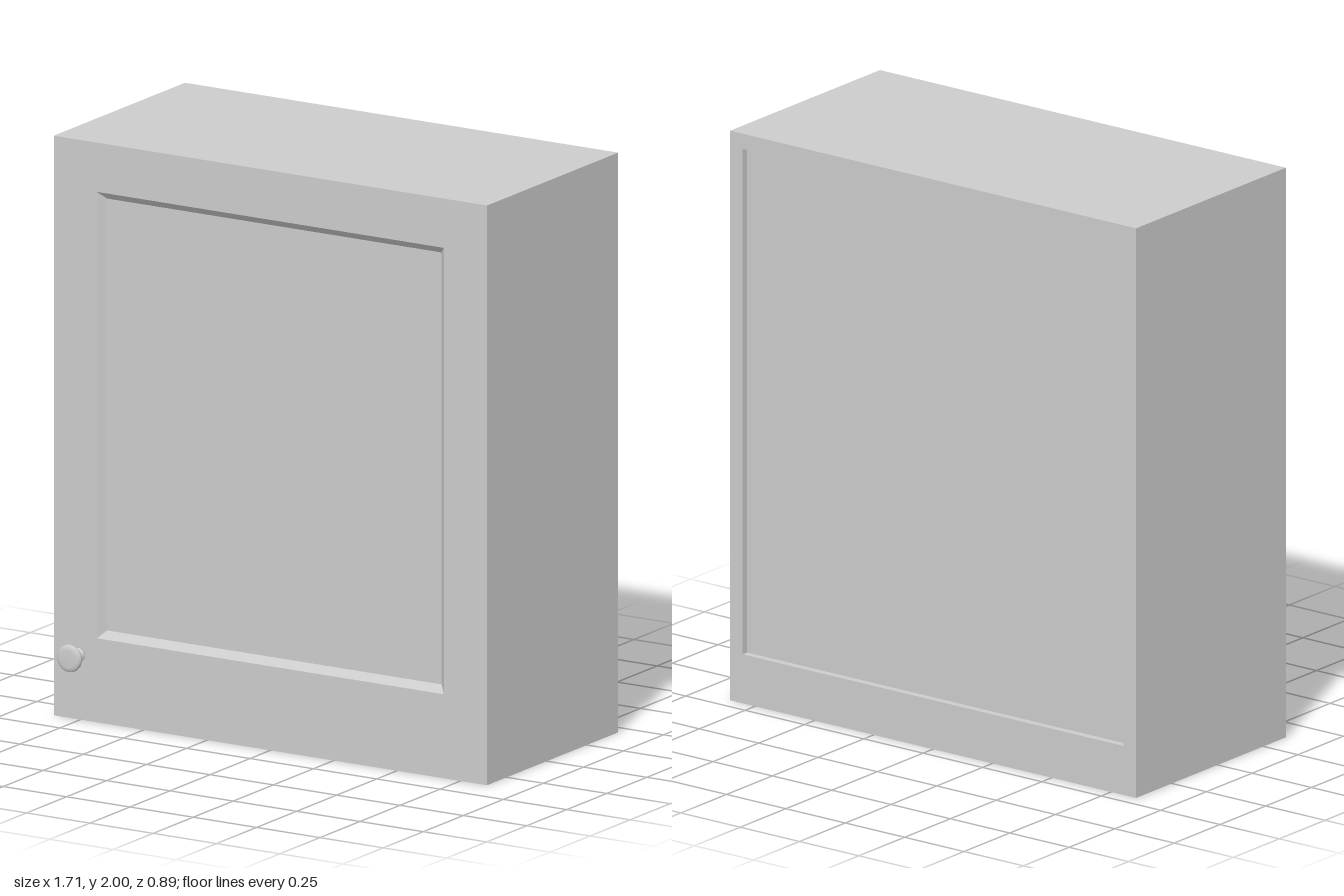
import * as THREE from 'three';

const W = 0.855, H = 2, BACK = -0.446, DOOR_BACK = 0.32, FRONT = 0.373;
const WALL = 0.053, KICK = 0.115, SHELF_TOP = 0.172;

const material = new THREE.MeshStandardMaterial({ color: 0xcccccc });

function add(group, name, geometry, x = 0, y = 0, z = 0) {
  const mesh = new THREE.Mesh(geometry, material);
  mesh.name = name;
  mesh.position.set(x, y, z);
  group.add(mesh);
  return mesh;
}

// Box given by its limits on each axis
function addPanel(group, name, [x0, x1], [y0, y1], [z0, z1]) {
  return add(group, name, new THREE.BoxGeometry(x1 - x0, y1 - y0, z1 - z0),
    (x0 + x1) / 2, (y0 + y1) / 2, (z0 + z1) / 2);
}

// Flat-faced solid through a series of rectangles [halfWidth, bottom, top, z],
// closed at the first (facing back) and the last (facing front)
function loftRectangles(sections) {
  const rings = sections.map(([w, y0, y1, z]) =>
    [[-w, y0, z], [w, y0, z], [w, y1, z], [-w, y1, z]]);
  const positions = [];
  const quad = (a, b, c, d) => positions.push(...a, ...b, ...c, ...a, ...c, ...d);
  for (let i = 0; i < rings.length - 1; i++) {
    for (let j = 0; j < 4; j++) {
      const k = (j + 1) % 4;
      quad(rings[i][j], rings[i][k], rings[i + 1][k], rings[i + 1][j]);
    }
  }
  const first = rings[0], last = rings[rings.length - 1];
  quad(first[3], first[2], first[1], first[0]);
  quad(last[0], last[1], last[2], last[3]);
  const geometry = new THREE.BufferGeometry();
  geometry.setAttribute('position', new THREE.Float32BufferAttribute(positions, 3));
  geometry.computeVertexNormals();
  return geometry;
}

export function createModel() {
  const cabinet = new THREE.Group();
  cabinet.name = 'wallCabinet';

  // Carcass: sides, top, base and a back panel set in from the rear edge
  const carcass = new THREE.Group();
  carcass.name = 'carcass';
  cabinet.add(carcass);
  const depth = [BACK, DOOR_BACK];
  addPanel(carcass, 'rightSide', [-W, -W + WALL], [0, H], depth);
  addPanel(carcass, 'leftSide', [W - WALL, W], [0, H], depth);
  addPanel(carcass, 'topPanel', [-W + WALL, W - WALL], [H - WALL, H], depth);
  addPanel(carcass, 'base', [-W + WALL, W - WALL], [0, SHELF_TOP], depth);
  addPanel(carcass, 'backPanel', [-W + WALL, W - WALL], [SHELF_TOP, H - WALL],
    [BACK + 0.025, BACK + 0.05]);

  // Rail below the door, flush with its face
  addPanel(cabinet, 'bottomRail', [-W, W], [0, KICK], [DOOR_BACK, FRONT]);

  // Door with a bevelled, sunken centre panel
  add(cabinet, 'door', loftRectangles([
    [W, KICK, H, DOOR_BACK],
    [W, KICK, H, FRONT],
    [0.685, 0.29, 1.83, FRONT],
    [0.66, 0.315, 1.805, FRONT - 0.025],
  ]));

  // Turned knob
  const profile = [
    [0, 0], [0.024, 0], [0.024, 0.005], [0.017, 0.009], [0.014, 0.018], [0.014, 0.028],
    [0.018, 0.038], [0.025, 0.046], [0.04, 0.05], [0.046, 0.054], [0.047, 0.059],
    [0.046, 0.065], [0.042, 0.07], [0.03, 0.073], [0, 0.073],
  ].map(([r, h]) => new THREE.Vector2(r, h));
  const knob = add(cabinet, 'knob', new THREE.LatheGeometry(profile, 32), -0.755, 0.224, FRONT);
  knob.rotation.x = Math.PI / 2;

  return cabinet;
}
